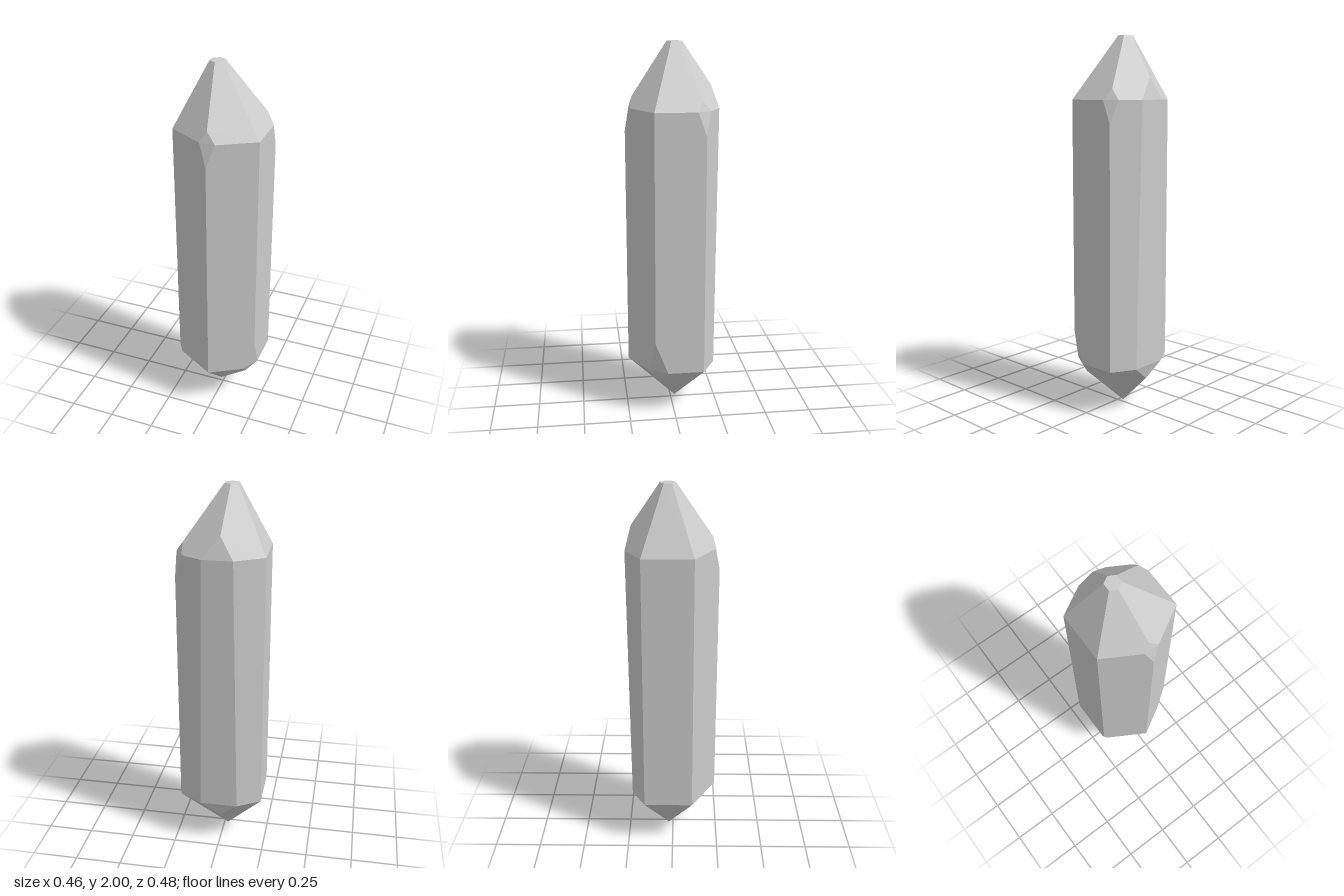
import * as THREE from 'three';
import { ConvexGeometry } from 'three/addons/geometries/ConvexGeometry.js';

const RADIUS = 0.263, CENTRE_Z = -0.024;
const LOW = 0.26, HIGH = 1.67;

// Corner i of a hexagon, counted from the front towards +x
function hexCorner(i, radius, x, y) {
  const a = (i * Math.PI) / 3;
  return new THREE.Vector3(x + radius * Math.sin(a), y, CENTRE_Z + radius * Math.cos(a));
}
const lowCorner = (i) => hexCorner(i, RADIUS, 0, LOW);
const highCorner = (i) => hexCorner(i, RADIUS, 0, HIGH);
const tip = () => new THREE.Vector3(-0.02, 0, CENTRE_Z);
const capCorner = (i) => hexCorner(i, 0.04, -0.037, 2);

export function createModel() {
  // Chipped corners: share of each edge removed (previous side, next side, ridge, shaft)
  const highChips = {
    0: [0.18, 0.18, 0.17, 0.085],
    2: [0.17, 0.18, 0.165, 0.085],
    3: [0.35, 0.35, 0.34, 0],
  };
  const lowChips = {
    1: [0.27, 0.26, 0.24, 0.125],
    3: [0.45, 0.45, 0.32, 0],
    5: [0.06, 0.06, 0.07, 0.03],
  };

  const points = [tip()];
  function addCorner(i, ring, ridgeEnd, shaftEnd, chip) {
    const corner = ring(i);
    if (!chip) {
      points.push(corner);
      return;
    }
    const ends = [ring(i - 1), ring(i + 1), ridgeEnd, shaftEnd];
    ends.forEach((end, k) => {
      // a zero share leaves the shaft cut along its whole length
      if (chip[k] > 0) points.push(corner.clone().lerp(end, chip[k]));
    });
  }

  for (let i = 0; i < 6; i++) {
    addCorner(i, lowCorner, tip(), highCorner(i), lowChips[i]);
    addCorner(i, highCorner, capCorner(i), lowCorner(i), highChips[i]);
    points.push(capCorner(i));
  }

  // Faceted crystal
  const crystal = new THREE.Mesh(
    new ConvexGeometry(points),
    new THREE.MeshStandardMaterial({ color: 0xcccccc, flatShading: true })
  );
  crystal.name = 'crystal';

  const group = new THREE.Group();
  group.name = 'crystalShard';
  group.add(crystal);
  return group;
}
